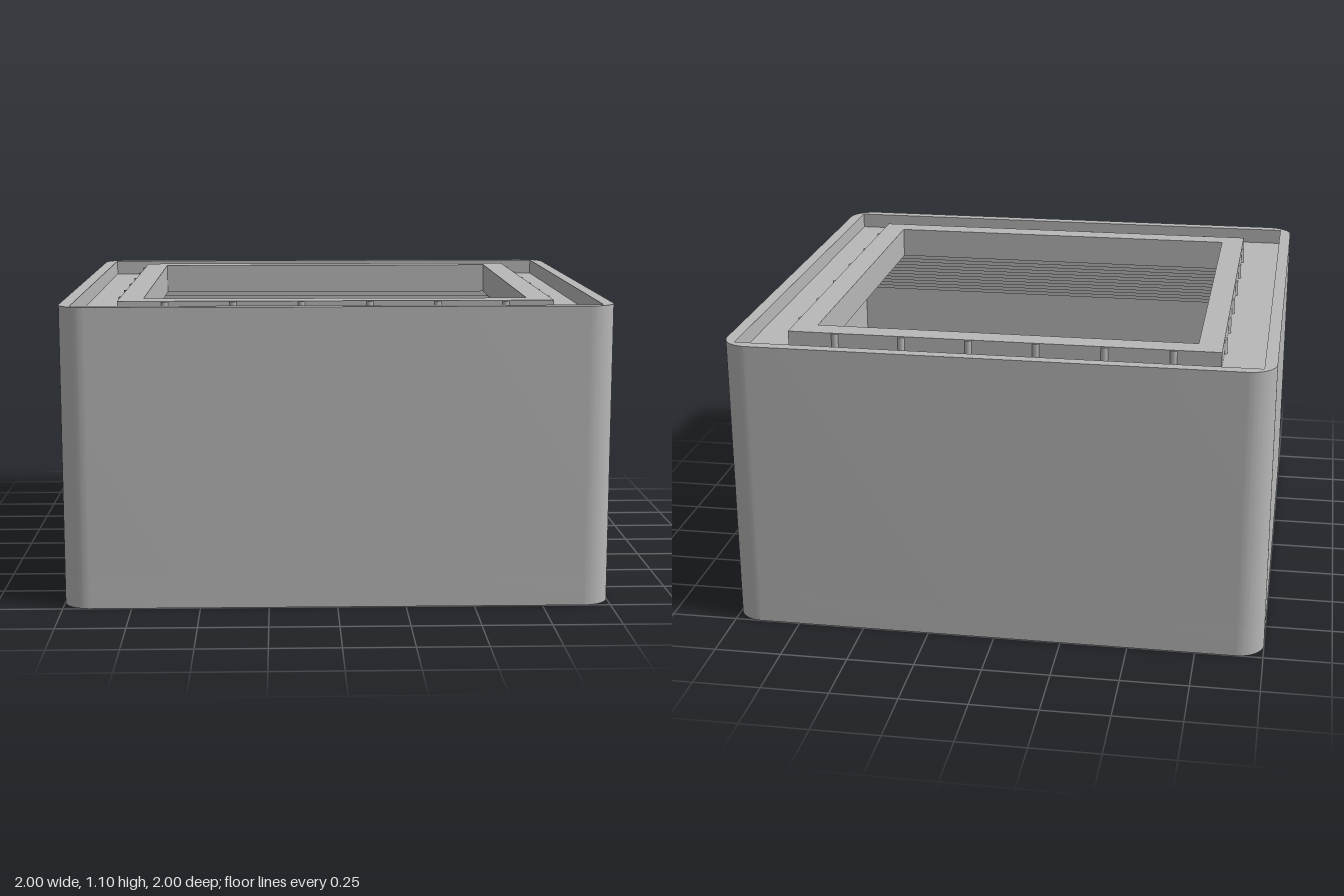
import * as THREE from 'three';
import { toCreasedNormals } from 'three/addons/utils/BufferGeometryUtils.js';

const HEIGHT = 1.1, FLOOR = 0.11, LEDGE = 1.04;
const INNER = 0.955, COLLAR = 0.8, OPENING = 0.71;
const LIP_BOTTOM = 0.98, STEPS = 12;

// Plan outlines: shape y is -z
function square(PathType, h) {
  return new PathType().moveTo(-h, -h).lineTo(h, -h).lineTo(h, h).lineTo(-h, h).closePath();
}

function roundedSquare(h, r) {
  const c = h - r, s = new THREE.Shape();
  s.absarc(c, c, r, 0, Math.PI / 2);
  s.absarc(-c, c, r, Math.PI / 2, Math.PI);
  s.absarc(-c, -c, r, Math.PI, Math.PI * 1.5);
  s.absarc(c, -c, r, Math.PI * 1.5, Math.PI * 2);
  return s.closePath();
}

function circle(x, z, r) {
  return new THREE.Path().absarc(x, -z, r, 0, Math.PI * 2);
}

function slot(r, z0, z1) {
  const p = new THREE.Path();
  p.absarc(0, -z0 - r, r, 0, Math.PI);
  p.absarc(0, -z1 + r, r, Math.PI, Math.PI * 2);
  return p.closePath();
}

// Extrude a plan outline upward from y0 to y1
function slab(shape, holes, y0, y1) {
  shape.holes.push(...holes);
  const g = new THREE.ExtrudeGeometry(shape, { depth: y1 - y0, bevelEnabled: false, curveSegments: 20 });
  g.rotateX(-Math.PI / 2).translate(0, y0, 0);
  return toCreasedNormals(g, 0.6);
}

const frame = (outer, inner, y0, y1) =>
  slab(square(THREE.Shape, outer), [square(THREE.Path, inner)], y0, y1);

export function createModel() {
  const model = new THREE.Group();
  const grey = new THREE.MeshStandardMaterial({ name: 'grey', color: 0xb8b8b8 });
  const add = (name, geometry, parent = model) => {
    const mesh = new THREE.Mesh(geometry, grey);
    mesh.name = name;
    parent.add(mesh);
    return mesh;
  };

  // Floor with two round openings, a slot and two screw holes
  const floorHoles = [slot(0.095, 0.09, 0.66)];
  for (const s of [-1, 1]) {
    floorHoles.push(circle(s * 0.405, -0.41, 0.193), circle(s * 0.5, 0.375, 0.036));
  }
  add('floor', slab(roundedSquare(1, 0.1), floorHoles, 0, FLOOR));

  // Outer walls, rising to a thin rim
  add('walls', slab(roundedSquare(1, 0.1), [square(THREE.Path, INNER)], FLOOR, HEIGHT));

  // Ledge inside the rim and the raised collar around the opening
  add('ledge', frame(INNER, OPENING, LIP_BOTTOM, LEDGE));
  add('collar', frame(COLLAR, OPENING, LEDGE, HEIGHT));

  // Stepped underside carrying the ledge at 45 degrees
  const support = new THREE.Group();
  support.name = 'steppedSupport';
  model.add(support);
  const step = (INNER - OPENING) / STEPS;
  for (let i = 1; i < STEPS; i++) {
    const top = LIP_BOTTOM - (i - 1) * step;
    add('supportStep', frame(INNER, OPENING + i * step, top - step, top), support);
  }

  // Small vertical ribs around the collar
  const ribs = new THREE.Group();
  ribs.name = 'collarRibs';
  model.add(ribs);
  const ribGeometry = new THREE.CylinderGeometry(0.014, 0.014, HEIGHT - LEDGE - 0.002, 12);
  const ribY = (HEIGHT + LEDGE) / 2 - 0.001;
  for (let i = 0; i < 6; i++) {
    const t = -0.627 + i * 0.25;
    for (const s of [-1, 1]) {
      add('rib', ribGeometry, ribs).position.set(t, ribY, s * 0.796);
      add('rib', ribGeometry, ribs).position.set(s * 0.796, ribY, t);
    }
  }

  // Screw bosses on the floor, with blind holes from below
  const profile = [[0, 0.22], [0.036, 0.22], [0.036, FLOOR], [0.11, FLOOR], [0.11, 0.3], [0, 0.3]]
    .map(([r, y]) => new THREE.Vector2(r, y));
  const bossGeometry = toCreasedNormals(new THREE.LatheGeometry(profile, 32), 0.6);
  for (const s of [-1, 1]) add('screwBoss', bossGeometry).position.set(s * 0.5, 0, 0.375);

  return model;
}
